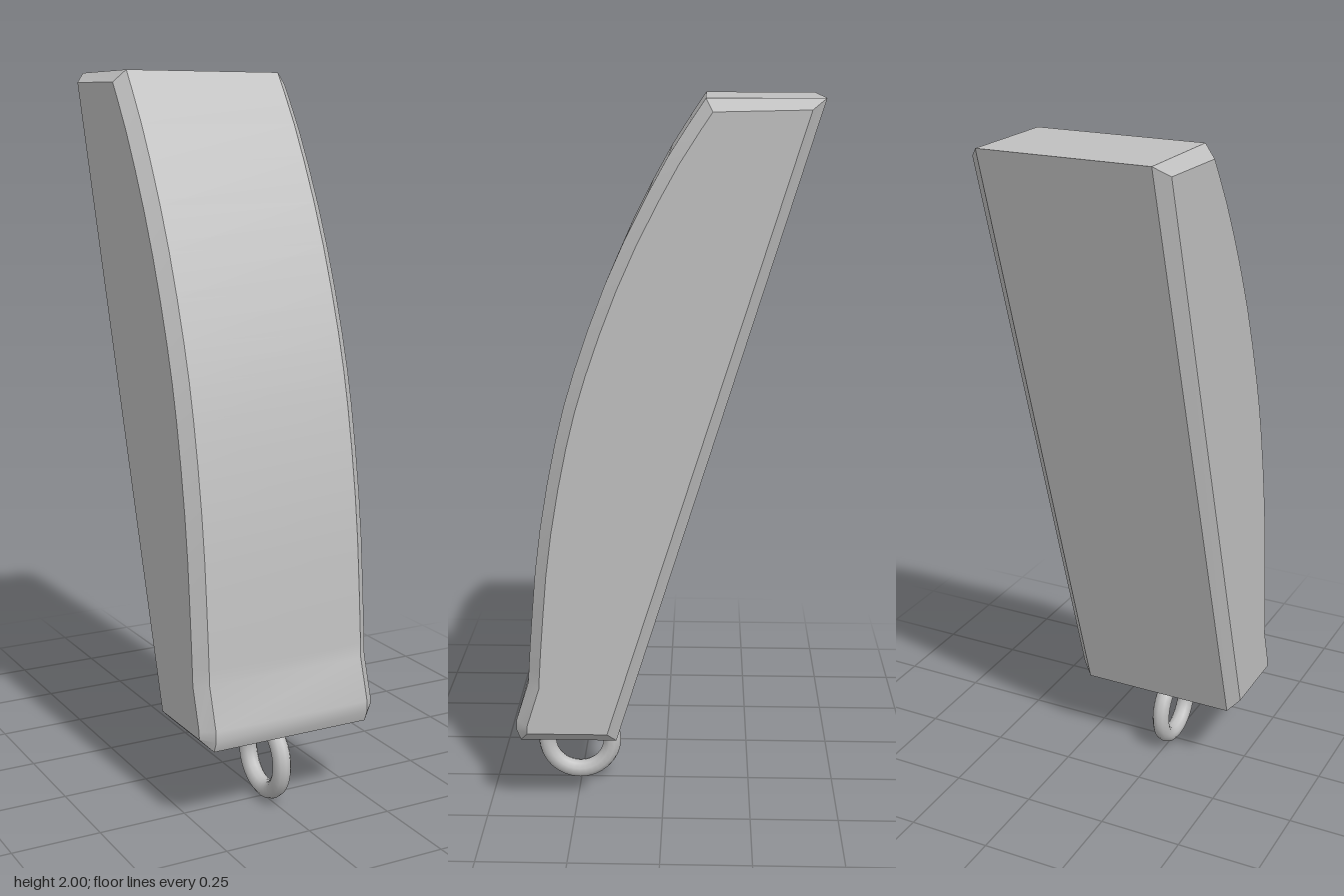
import * as THREE from 'three';
import { toCreasedNormals } from 'three/addons/utils/BufferGeometryUtils.js';

export function createModel() {
  const model = new THREE.Group();
  const grey = new THREE.MeshStandardMaterial({ color: 0xc0c0c0 });
  grey.name = 'grey';

  const add = (name, geometry) => {
    const mesh = new THREE.Mesh(geometry, grey);
    mesh.name = name;
    model.add(mesh);
    return mesh;
  };

  // Side profiles are drawn as (-z, y) and extruded across x
  const acrossX = (shape, width, bevel) => {
    const geometry = new THREE.ExtrudeGeometry(shape, {
      depth: width - 2 * bevel, bevelEnabled: bevel > 0, bevelThickness: bevel,
      bevelSize: bevel, bevelOffset: -bevel, bevelSegments: 1, steps: 1,
    });
    geometry.translate(0, 0, -(width - 2 * bevel) / 2);
    geometry.rotateY(Math.PI / 2);
    return geometry;
  };

  // Leaning body: straight back, bowed front, flared foot, chamfered sides
  const front = new THREE.SplineCurve([
    [0.375, 0.41], [0.365, 0.55], [0.34, 0.81], [0.29, 1.09],
    [0.228, 1.315], [0.127, 1.58], [0, 1.83], [-0.11, 2],
  ].map(([z, y]) => new THREE.Vector2(-z, y)));
  const profile = new THREE.Shape([
    new THREE.Vector2(0.413, 2),
    ...front.getPoints(16).reverse(),
    new THREE.Vector2(-0.411, 0.295),
    new THREE.Vector2(-0.412, 0.265),
    new THREE.Vector2(-0.4, 0.235),
    new THREE.Vector2(-0.13, 0.235),
  ]);
  add('body', toCreasedNormals(acrossX(profile, 0.536, 0.033), 0.5));

  // Tapered lug under the body
  const lug = new THREE.Shape([
    new THREE.Vector2(-0.065, 0.04), new THREE.Vector2(-0.065, 0.02),
    new THREE.Vector2(-0.05, 0), new THREE.Vector2(0.05, 0),
    new THREE.Vector2(0.065, 0.02), new THREE.Vector2(0.065, 0.04),
  ]);
  add('lug', acrossX(lug, 0.14, 0)).position.set(0, 0.2, 0.254);

  // Hanging ring
  const ring = add('ring', new THREE.TorusGeometry(0.097, 0.026, 10, 32));
  ring.rotation.y = Math.PI / 2;
  ring.position.set(0, 0.125, 0.254);

  return model;
}
